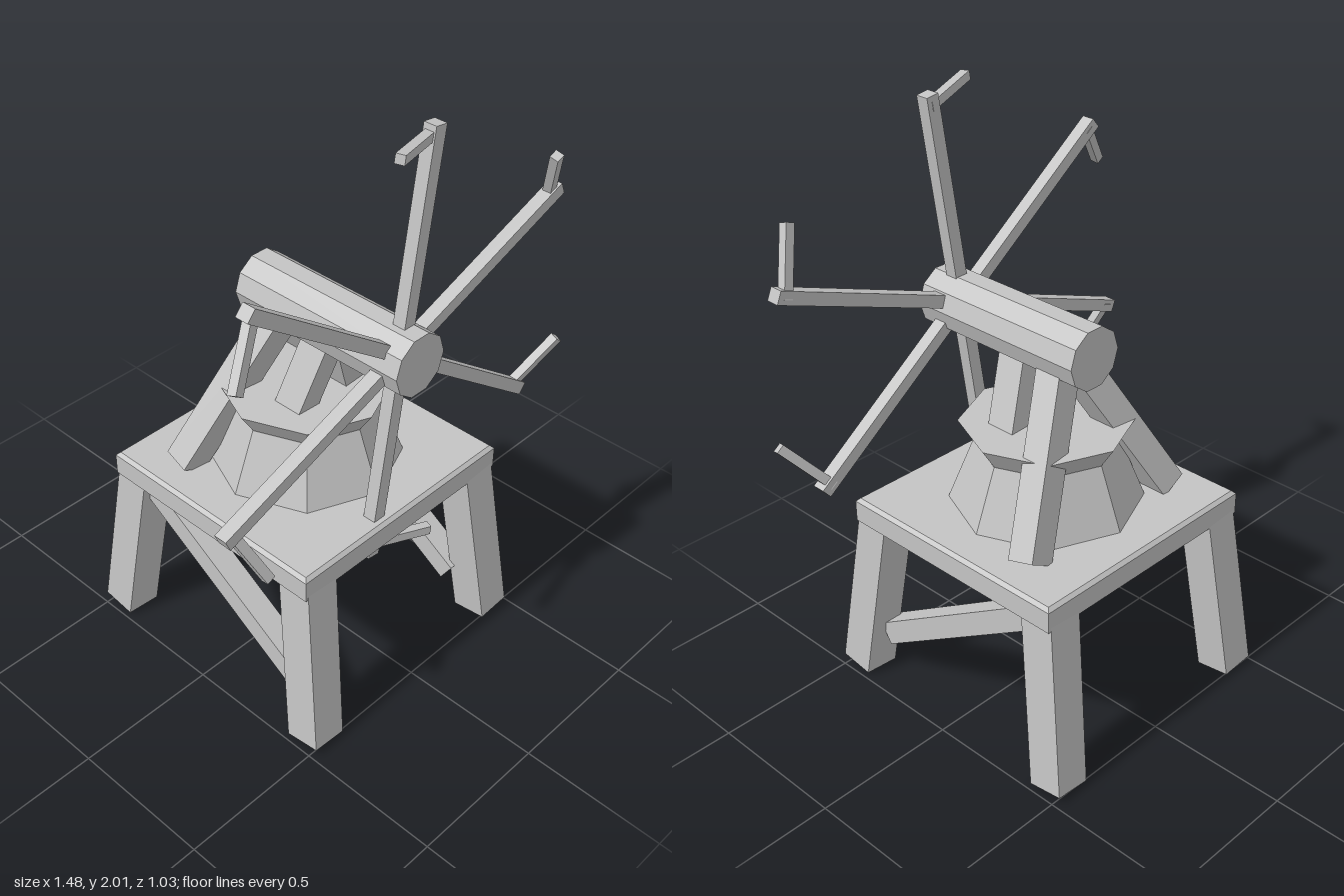
import * as THREE from 'three';

const grey = new THREE.MeshStandardMaterial({ color: 0xc4c4c4, flatShading: true });
grey.name = 'plain grey';

function add(parent, geometry, name) {
  const mesh = new THREE.Mesh(geometry, grey);
  mesh.name = name;
  parent.add(mesh);
  return mesh;
}

// Square timber between two points; its depth side stays close to the z axis.
function beam(parent, name, from, to, width, depth, ref = [0, 0, 1]) {
  const a = new THREE.Vector3(...from);
  const b = new THREE.Vector3(...to);
  const y = b.clone().sub(a);
  const length = y.length();
  y.normalize();
  const x = new THREE.Vector3().crossVectors(y, new THREE.Vector3(...ref)).normalize();
  const z = new THREE.Vector3().crossVectors(x, y);
  const mesh = add(parent, new THREE.BoxGeometry(width, length, depth), name);
  mesh.quaternion.setFromRotationMatrix(new THREE.Matrix4().makeBasis(x, y, z));
  mesh.position.copy(a).add(b).multiplyScalar(0.5);
  return mesh;
}

export function createModel() {
  const model = new THREE.Group();
  model.name = 'windmill';

  // Platform with a small chamfer
  const bevel = 0.012, hx = 0.45 - bevel, hz = 0.438 - bevel;
  const outline = new THREE.Shape();
  outline.moveTo(-hx, -hz).lineTo(hx, -hz).lineTo(hx, hz).lineTo(-hx, hz).closePath();
  const slab = new THREE.ExtrudeGeometry(outline, {
    depth: 0.098 - 2 * bevel, bevelSize: bevel, bevelThickness: bevel, bevelSegments: 1,
  });
  slab.rotateX(-Math.PI / 2).translate(0, 0.598 + bevel, 0);
  add(model, slab, 'platform');

  for (const s of [-1, 1]) {
    // Splayed legs and diagonal braces
    for (const f of [-1, 1]) {
      beam(model, 'leg', [s * 0.422, 0.0125, f * 0.455], [s * 0.377, 0.62, f * 0.375], 0.125, 0.125);
    }
    beam(model, 'brace', [s * 0.37, 0.153, 0.368], [s * 0.37, 0.6, -0.345], 0.08, 0.085, [1, 0, 0])
      .name = 'brace';

    // Struts carrying the axle
    beam(model, 'frontStrut', [s * 0.13, 0.92, 0.055], [s * 0.012, 1.22, 0.1], 0.08, 0.105);
    beam(model, 'backStrut', [s * 0.32, 0.7, -0.235], [s * 0.03, 1.22, -0.08], 0.1, 0.095);
  }

  // Eight-sided base and flared collar
  const base = add(model, new THREE.CylinderGeometry(0.238, 0.324, 0.217, 8), 'towerBase');
  base.position.y = 0.8;
  const collar = add(model, new THREE.CylinderGeometry(0.286, 0.236, 0.077, 8), 'towerCollar');
  collar.position.y = 0.945;

  // Ten-sided axle, lying along z
  const axle = new THREE.CylinderGeometry(0.106, 0.106, 0.67, 10);
  axle.rotateY(Math.PI / 2).rotateX(Math.PI / 2);
  add(model, axle, 'axle').position.set(0, 1.275, 0.133);

  // Wheel of six arms, each with a slanted bar at the tip
  const wheel = new THREE.Group();
  wheel.name = 'wheel';
  wheel.position.set(0, 1.275, 0);
  wheel.scale.x = 1.08;
  for (let i = 0; i < 6; i++) {
    const arm = new THREE.Group();
    arm.name = 'sailArm';
    arm.rotation.z = THREE.MathUtils.degToRad(-8.1 + 60 * i);
    beam(arm, 'spoke', [0, 0.03, 0.386], [0, 0.729, 0.386], 0.043, 0.046);
    beam(arm, 'tipBar', [0.01, 0.695, 0.376], [-0.2, 0.695, 0.45], 0.03, 0.03);
    wheel.add(arm);
  }
  model.add(wheel);
  return model;
}
